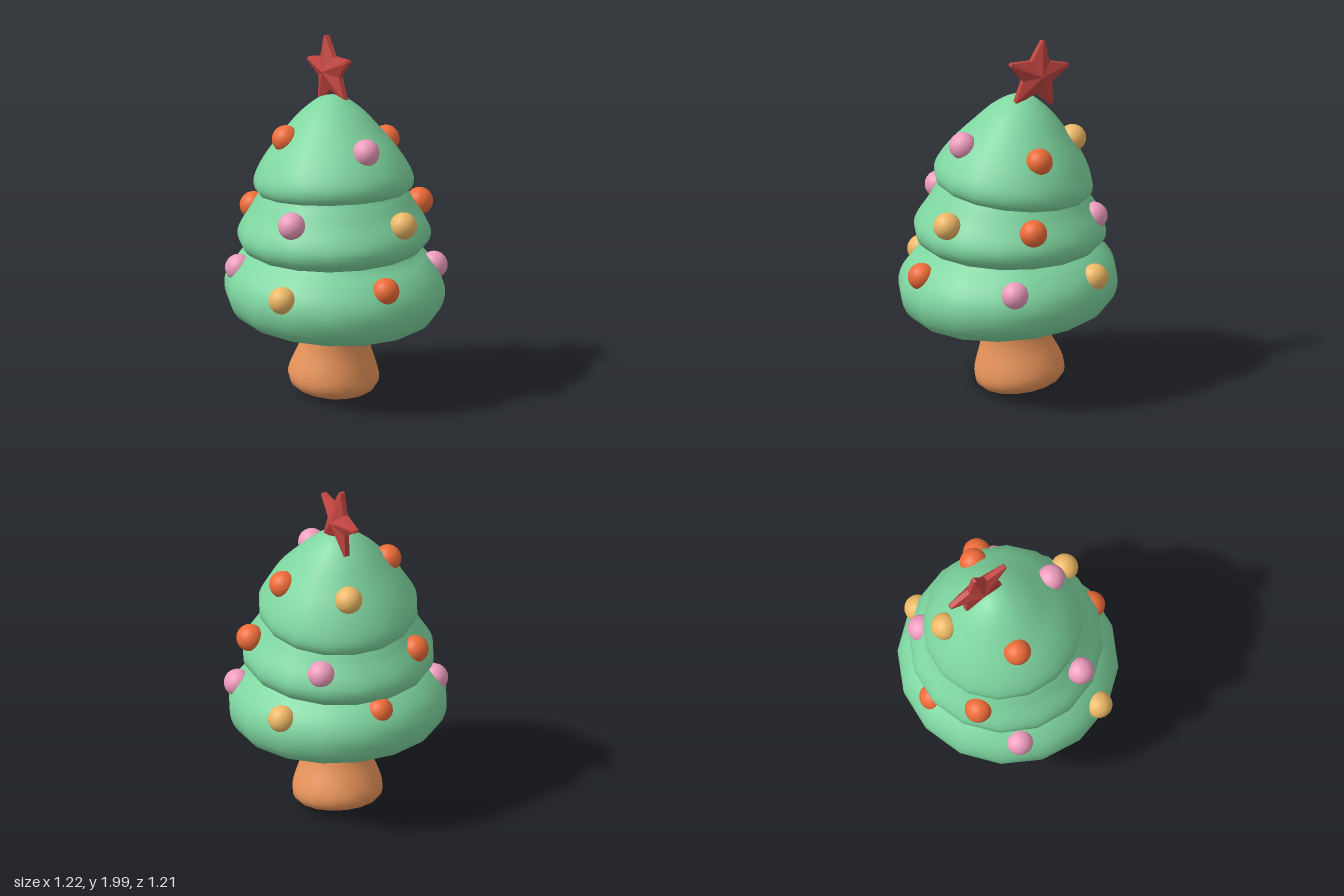
import * as THREE from 'three';

const mat = (color, extra = {}) => new THREE.MeshStandardMaterial({ color, ...extra });

// Smooth lathe from a few [radius, height] points
function turned(name, points, material, position, tiltX, tiltZ) {
  const curve = new THREE.SplineCurve(points.map(([r, y]) => new THREE.Vector2(r, y)));
  const profile = curve.getPoints(points.length * 3);
  profile.forEach((p) => { p.x = Math.max(p.x, 0); });
  const mesh = new THREE.Mesh(new THREE.LatheGeometry(profile, 16), material);
  mesh.name = name;
  mesh.position.set(...position);
  mesh.rotation.set(tiltX, 0, tiltZ);
  return mesh;
}

// Five-pointed star with a raised centre on both faces and blunted tips
function starGeometry(outer, inner, depth, edge, phase) {
  const rim = [];
  for (let i = 0; i < 5; i++) {
    const a = phase + (i * Math.PI * 2) / 5;
    for (const [r, da] of [[outer, -0.04], [outer, 0.04], [inner, Math.PI / 5]]) {
      rim.push([r * Math.cos(a + da), r * Math.sin(a + da)]);
    }
  }
  const v = [];
  rim.forEach(([ax, ay], i) => {
    const [bx, by] = rim[(i + 1) % rim.length];
    v.push(0, 0, depth, ax, ay, edge, bx, by, edge);
    v.push(0, 0, -depth, bx, by, -edge, ax, ay, -edge);
    v.push(ax, ay, edge, ax, ay, -edge, bx, by, -edge);
    v.push(ax, ay, edge, bx, by, -edge, bx, by, edge);
  });
  const g = new THREE.BufferGeometry();
  g.setAttribute('position', new THREE.Float32BufferAttribute(v, 3));
  g.computeVertexNormals();
  return g;
}

export function createModel() {
  const tree = new THREE.Group();
  tree.name = 'decoratedTree';
  const green = mat(0x7ed6a0);

  // Flared, leaning trunk
  tree.add(turned('trunk', [
    [0, -0.005], [0.1, -0.004], [0.19, 0.003], [0.235, 0.03], [0.25, 0.08],
    [0.233, 0.15], [0.195, 0.25], [0.178, 0.35], [0.172, 0.56],
  ], mat(0xe8945a), [0.045, 0.035, -0.06], 0.13, 0.04));

  // Three overlapping tiers, each with a hollow underside
  tree.add(turned('lowerTier', [
    [0, -0.05], [0.2, -0.055], [0.36, -0.11], [0.44, -0.162], [0.52, -0.155], [0.58, -0.095],
    [0.605, 0], [0.582, 0.09], [0.52, 0.17], [0.45, 0.23], [0.34, 0.32], [0, 0.34],
  ], green, [0.005, 0.62, 0], 0.07, 0.015));
  tree.add(turned('middleTier', [
    [0, 0], [0.28, -0.02], [0.38, -0.085], [0.45, -0.1], [0.51, -0.06],
    [0.53, 0], [0.51, 0.065], [0.455, 0.15], [0.4, 0.24], [0.32, 0.32], [0, 0.34],
  ], green, [0.01, 0.93, -0.01], -0.02, 0.01));
  tree.add(turned('topTier', [
    [0, 0], [0.2, -0.01], [0.3, -0.06], [0.36, -0.08], [0.42, -0.055], [0.44, 0],
    [0.42, 0.07], [0.36, 0.17], [0.27, 0.28], [0.18, 0.38], [0.09, 0.45], [0.035, 0.471], [0, 0.474],
  ], green, [0.02, 1.22, -0.025], -0.1, -0.05));

  // Baubles, grouped by colour
  const ball = new THREE.SphereGeometry(0.075, 24, 16);
  const baubles = {
    orangeBauble: [0xee6c38, [
      [-0.09, 0.73, 0.525], [0.07, 0.78, -0.49], [0.465, 1.06, 0.18],
      [-0.22, 1.04, -0.415], [0.34, 1.41, 0.045], [-0.23, 1.48, -0.14],
    ]],
    pinkBauble: [0xee9cbd, [
      [0.46, 0.725, 0.305], [-0.43, 0.75, -0.3], [-0.435, 1.085, 0.14],
      [0.345, 1.02, -0.33], [-0.025, 1.455, 0.29],
    ]],
    yellowBauble: [0xeeb866, [
      [0.52, 0.74, -0.2], [-0.54, 0.69, 0.18], [0.08, 1.06, 0.48], [0.16, 1.42, -0.325],
    ]],
  };
  for (const [name, [color, spots]] of Object.entries(baubles)) {
    const material = mat(color);
    for (const spot of spots) {
      const mesh = new THREE.Mesh(ball, material);
      mesh.name = name;
      mesh.position.set(...spot);
      tree.add(mesh);
    }
  }

  // Star on the tip, turned to face the side
  const star = new THREE.Mesh(
    starGeometry(0.197, 0.1, 0.056, 0.014, THREE.MathUtils.degToRad(80)),
    mat(0xc0443f, { flatShading: true }),
  );
  star.name = 'star';
  star.position.set(0.092, 1.805, -0.135);
  star.rotation.y = THREE.MathUtils.degToRad(84);
  tree.add(star);

  return tree;
}
